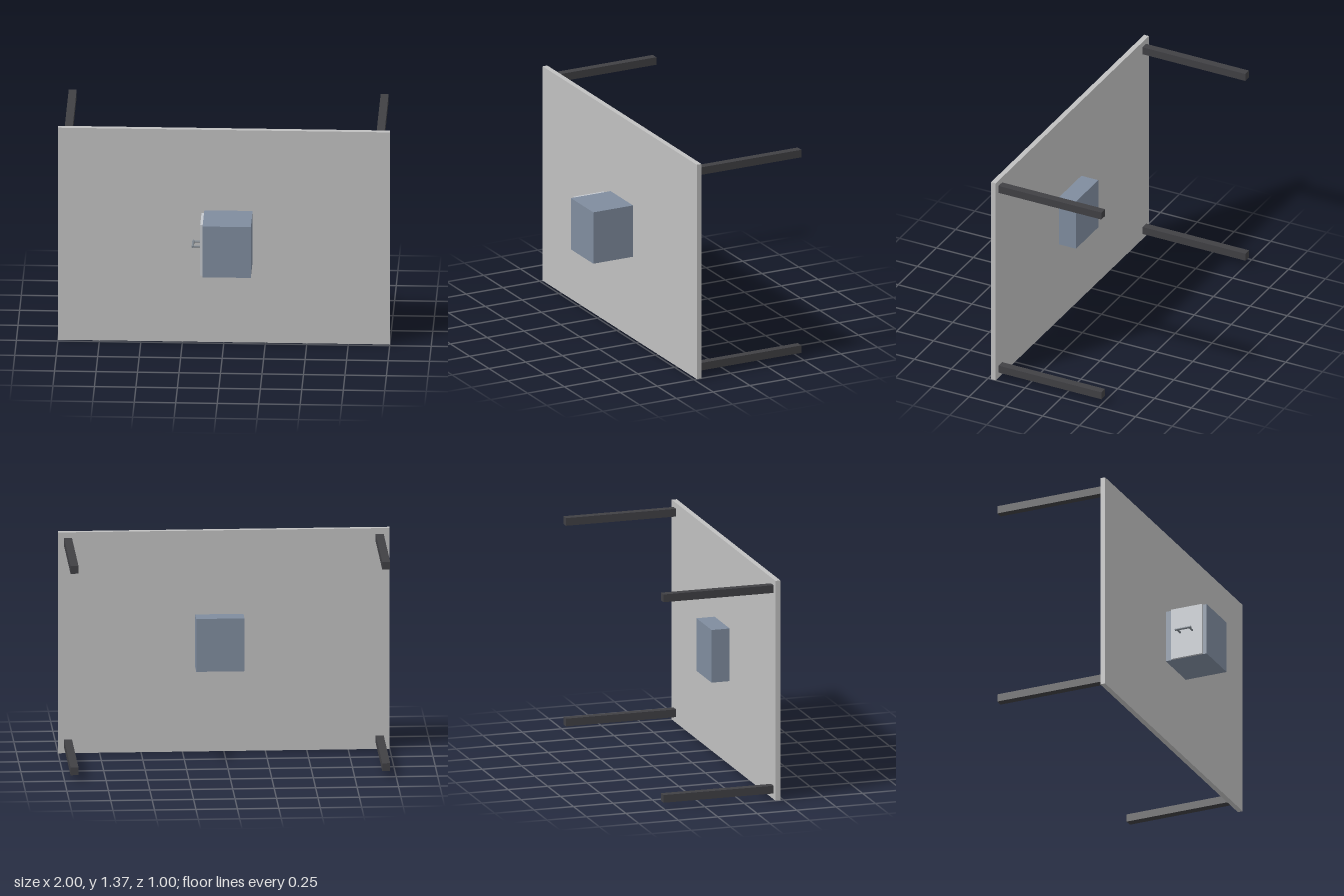
import * as THREE from 'three';

export function createModel() {
  const model = new THREE.Group();
  const paint = (name, color) => {
    const m = new THREE.MeshStandardMaterial({ color });
    m.name = name;
    return m;
  };
  const panelGrey = paint('panel grey', 0xc0c0c0);
  const legBlack = paint('leg charcoal', 0x404044);
  const boxBlue = paint('cabinet slate', 0x7f8c9e);
  const doorGrey = paint('door light grey', 0xc4c8ce);
  const handleGrey = paint('handle grey', 0x808890);

  // Box given by its extents on each axis
  const box = (name, material, [x0, x1], [y0, y1], [z0, z1], parent = model) => {
    const mesh = new THREE.Mesh(new THREE.BoxGeometry(x1 - x0, y1 - y0, z1 - z0), material);
    mesh.position.set((x0 + x1) / 2, (y0 + y1) / 2, (z0 + z1) / 2);
    mesh.name = name;
    parent.add(mesh);
  };

  // Upright panel
  box('panel', panelGrey, [-1, 1], [0, 1.37], [0.198, 0.23]);

  // Four square legs reaching back from the corners
  for (const x of [-0.94, 0.94]) {
    for (const y of [0.06, 1.31]) {
      box('leg', legBlack, [x - 0.024, x + 0.024], [y - 0.024, y + 0.024], [-0.5, 0.198]);
    }
  }

  // Cabinet passing through the panel, with a door on its right side
  box('cabinet', boxBlue, [-0.118, 0.173], [0.522, 0.85], [0.083, 0.5]);
  box('door', doorGrey, [-0.133, -0.118], [0.522, 0.85], [0.272, 0.475]);

  // Door handle: two posts and a grip bar
  const handle = new THREE.Group();
  handle.name = 'handle';
  model.add(handle);
  const rod = (name, radius, length, x, z) => {
    const mesh = new THREE.Mesh(new THREE.CylinderGeometry(radius, radius, length, 16), handleGrey);
    mesh.position.set(x, 0.687, z);
    mesh.name = name;
    handle.add(mesh);
    return mesh;
  };
  for (const z of [0.332, 0.412]) rod('handlePost', 0.006, 0.048, -0.156, z).rotation.z = Math.PI / 2;
  rod('handleGrip', 0.007, 0.104, -0.18, 0.372).rotation.x = Math.PI / 2;

  return model;
}
